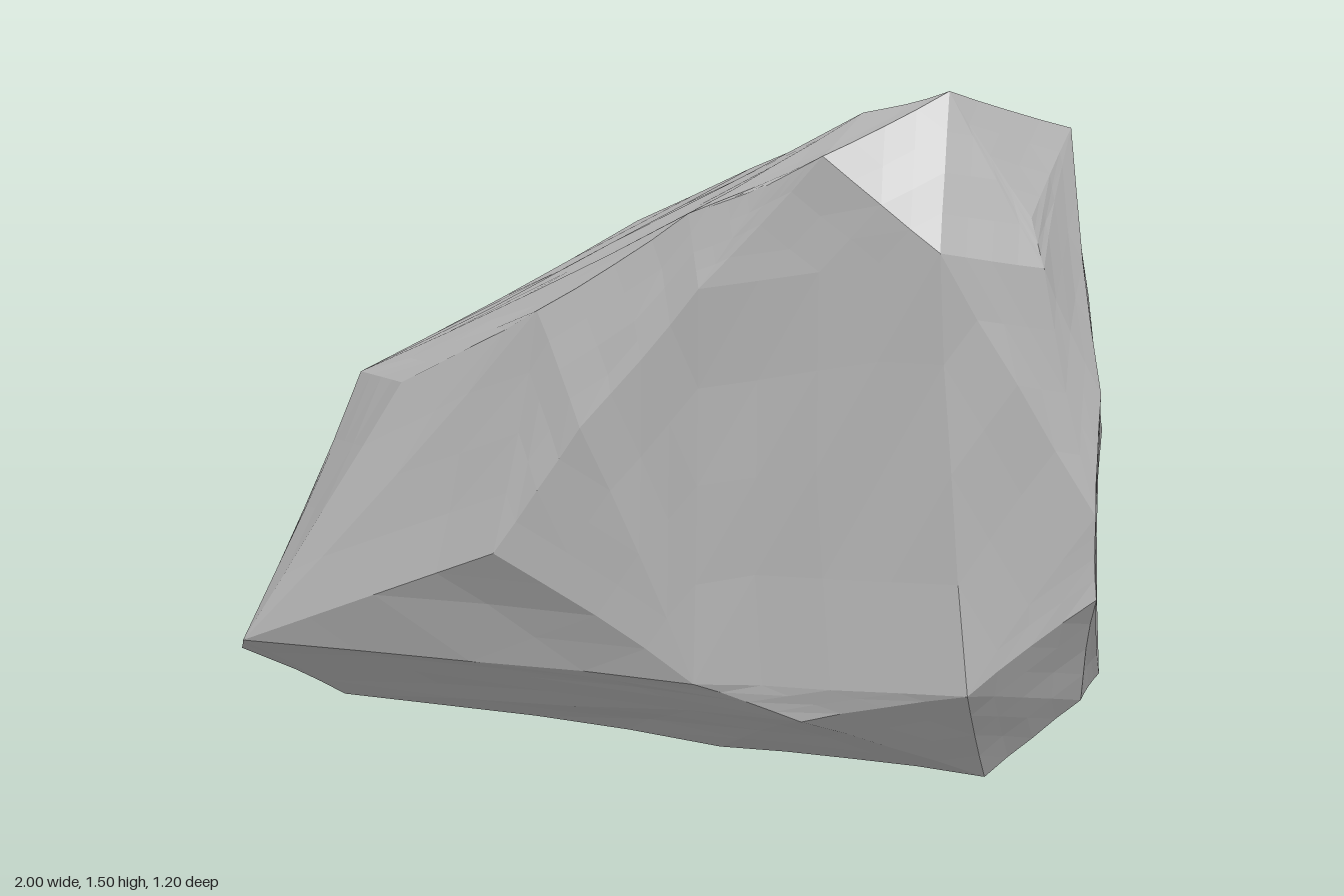
import * as THREE from 'three';
import { ConvexGeometry } from 'three/addons/geometries/ConvexGeometry.js';

// Main corners of the boulder
const CORNERS = [
  // summit and upper ridge
  [0.79, 1.5, -0.07], [0.7, 1.385, 0.2], [0.77, 1.37, -0.42], [0.48, 1.4, -0.1],
  [0.4, 1.23, 0.31], [0.45, 1.08, 0.325], [0.58, 1.31, 0.25], [0.04, 0.98, 0.415],
  [0.2, 0.76, 0.435],
  // low end
  [-0.82, 0.89, -0.6], [-1, 0.74, -0.5], [-0.99, 0.72, -0.43], [-0.77, 0.69, 0.2],
  [-0.42, 0.75, 0.39], [-0.89, 0.27, -0.46], [-0.86, 0.1, -0.4],
  // front foot
  [-0.68, 0.19, 0.6], [-0.73, 0.16, 0.56], [0, 0.47, 0.5], [0.37, 0.22, 0.27],
  [0.55, 0.15, 0.13], [0.87, 0.23, -0.05],
  // steep end
  [0.9, 1.19, 0.05], [0.94, 1.13, -0.2], [1, 0.6, -0.29], [0.99, 0.42, -0.3],
  [0.9, 1.23, -0.2], [0.97, 0.85, -0.33], [0.87, 0.18, -0.36],
  // back
  [0.57, 1.02, -0.55], [0.4, 0.96, -0.55], [0.14, 0.64, -0.57], [-0.4, 0.82, -0.6],
  [0.72, 1.2, -0.48], [0.8, 0.21, -0.47], [0.04, 0.16, -0.5], [0.88, 0.75, -0.41],
  // underside
  [-0.52, 0, -0.2], [-0.77, 0.06, 0.1], [-0.6, 0.06, 0.39], [0.3, 0.01, -0.32],
  [0.75, 0.02, -0.2], [0.2, 0.03, 0.05], [0.1, 0.04, -0.38],
];

// Repeatable noise from a position, so shared corners stay together
function noise(p) {
  const s = Math.sin(p.x * 127.1 + p.y * 311.7 + p.z * 74.7) * 43758.5453;
  return s - Math.floor(s);
}

// Split every face in four and push the new midpoints slightly inward
function chip(tris, depth, centre) {
  const mid = (a, b) => {
    const m = a.clone().add(b).multiplyScalar(0.5);
    const key = new THREE.Vector3(...m.toArray().map((v) => Math.round(v * 1e4) / 1e4));
    const amount = depth * noise(key) * Math.min(1, a.distanceTo(b) * 2);
    return m.addScaledVector(centre.clone().sub(m).normalize(), amount);
  };
  return tris.flatMap(([a, b, c]) => {
    const ab = mid(a, b), bc = mid(b, c), ca = mid(c, a);
    return [[a, ab, ca], [ab, b, bc], [ca, bc, c], [ab, bc, ca]];
  });
}

export function createModel() {
  const stone = new THREE.MeshStandardMaterial({ color: 0xbcbcbc, flatShading: true });
  stone.name = 'grey stone';

  // Faceted hull
  const hull = new ConvexGeometry(CORNERS.map((c) => new THREE.Vector3(...c)));
  const pos = hull.attributes.position;
  let tris = [];
  for (let i = 0; i < pos.count; i += 3) {
    tris.push([0, 1, 2].map((k) => new THREE.Vector3().fromBufferAttribute(pos, i + k)));
  }

  // Chipped surface
  const centre = new THREE.Vector3(0.1, 0.6, -0.1);
  tris = chip(tris, 0.014, centre);
  tris = chip(tris, 0.01, centre);

  const geometry = new THREE.BufferGeometry().setFromPoints(tris.flat());
  geometry.computeVertexNormals();

  const boulder = new THREE.Mesh(geometry, stone);
  boulder.name = 'boulder';
  const group = new THREE.Group();
  group.name = 'rock';
  group.add(boulder);
  return group;
}
